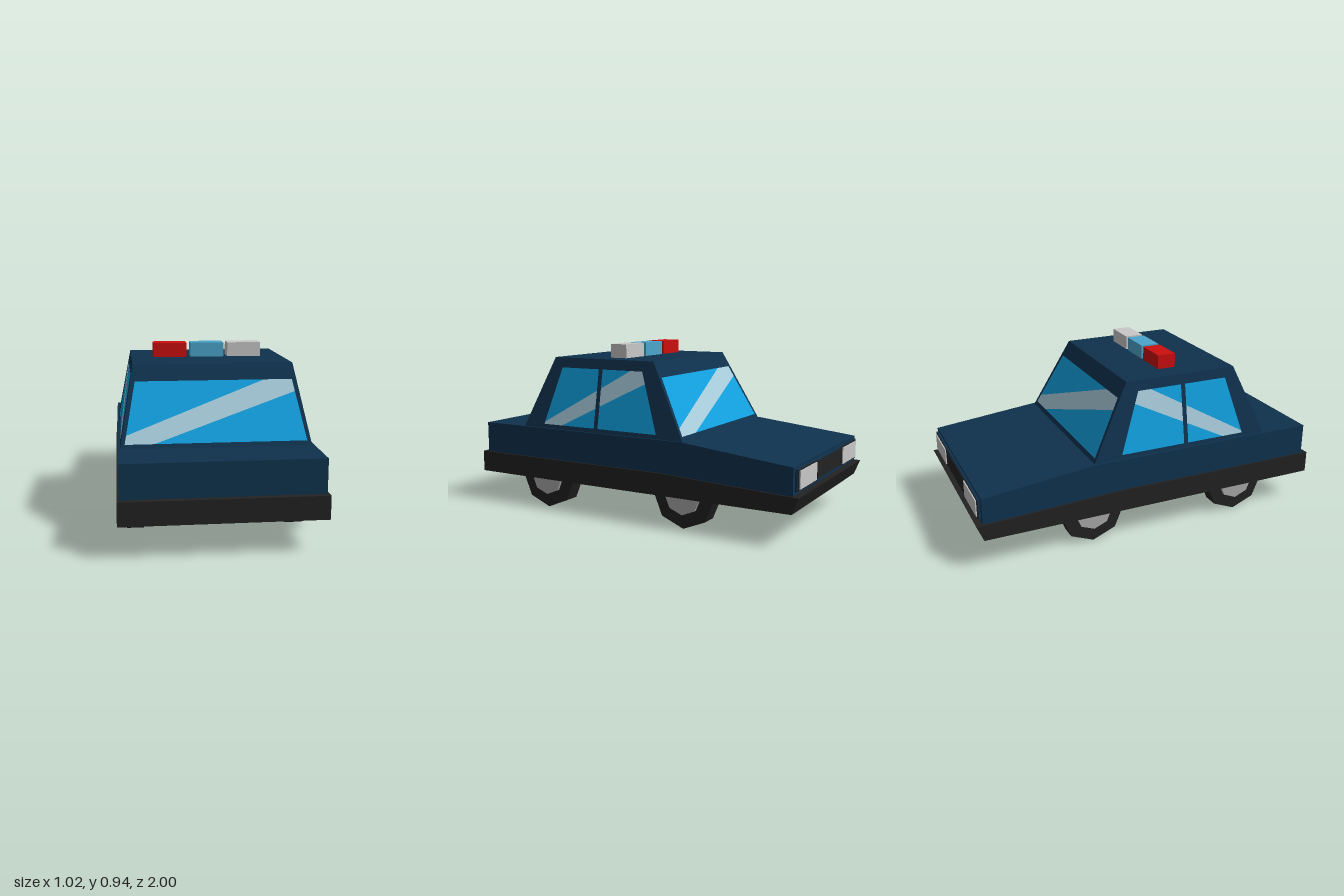
import * as THREE from 'three';

const mat = (name, color, side = THREE.FrontSide) => {
  const m = new THREE.MeshStandardMaterial({ color, side });
  m.name = name;
  return m;
};

// Flat-shaded mesh from convex polygons, each a list of [x, y, z] corners
function polyMesh(name, polys, material) {
  const pos = [];
  for (const p of polys)
    for (let i = 1; i < p.length - 1; i++) pos.push(...p[0], ...p[i], ...p[i + 1]);
  const g = new THREE.BufferGeometry();
  g.setAttribute('position', new THREE.Float32BufferAttribute(pos, 3));
  g.computeVertexNormals();
  const mesh = new THREE.Mesh(g, material);
  mesh.name = name;
  return mesh;
}

const mix = (a, b, t) => a.map((v, i) => v + (b[i] - v) * t);
const flipX = (poly) => poly.map(([x, y, z]) => [-x, y, z]).reverse();

// Closed loop around the car from one side's [y, z] points, rear to front
function loop(x, side) {
  const left = side.map(([y, z]) => [x, y, z]);
  return [...left, ...flipX(left)];
}

// Quads joining two loops
const loft = (a, b) => a.map((p, i) => {
  const j = (i + 1) % a.length;
  return [p, a[j], b[j], b[i]];
});

export function createModel() {
  const car = new THREE.Group();
  car.name = 'car';

  const navy = mat('navy paint', 0x0f324e, THREE.DoubleSide);
  const black = mat('black rubber', 0x222222, THREE.DoubleSide);
  const glass = mat('window blue', 0x11a0df, THREE.DoubleSide);
  const shine = mat('window shine', 0xa9cddd, THREE.DoubleSide);
  const grey = mat('hub grey', 0xaaaaaa);
  const red = mat('lamp red', 0xcc0e0e);
  const blue = mat('lamp blue', 0x4ba5cb);
  const white = mat('lamp white', 0xc8c8c8);

  const box = (name, x0, x1, y0, y1, z0, z1, material) => {
    const m = new THREE.Mesh(new THREE.BoxGeometry(x1 - x0, y1 - y0, z1 - z0), material);
    m.position.set((x0 + x1) / 2, (y0 + y1) / 2, (z0 + z1) / 2);
    m.name = name;
    car.add(m);
  };

  // Bumper band: hollow, with a narrow lip up to the body
  const bandLow = loop(0.51, [[0.17, 1], [0.17, 0.69], [0.17, -0.22], [0.17, -0.353], [0.17, -0.965]]);
  const bandTop = loop(0.51, [[0.29, 1], [0.29, 0.69], [0.29, -0.22], [0.284, -0.353], [0.255, -1]]);
  const bodyLow = loop(0.5, [[0.29, 0.966], [0.29, 0.69], [0.29, -0.22], [0.284, -0.353], [0.257, -0.965]]);
  const bodyTop = loop(0.5, [[0.465, 0.966], [0.465, 0.69], [0.465, -0.22], [0.465, -0.353], [0.4, -0.965]]);
  car.add(polyMesh('bumperBand', [...loft(bandLow, bandTop), ...loft(bandTop, bodyLow)], black));

  // Lower body: walls, boot lid, bonnet and the ledges beside the cabin
  const baseX = 0.488, baseY = 0.465, topX = 0.416, topY = 0.866;
  const ledge = [[0.5, baseY, 0.69], [0.5, baseY, -0.353], [baseX, baseY, -0.353], [baseX, baseY, 0.69]];
  const t = bodyTop;
  car.add(polyMesh('lowerBody', [
    ...loft(bodyLow, bodyTop),
    [t[0], t[1], t[8], t[9]],
    [t[3], t[4], t[5], t[6]],
    ledge, flipX(ledge),
  ], navy));

  // Cabin corners
  const rearL = [baseX, baseY, 0.69], frontL = [baseX, baseY, -0.353];
  const roofRearL = [topX, topY, 0.51], roofFrontL = [topX, topY, -0.139];
  const neg = ([x, y, z]) => [-x, y, z];
  car.add(polyMesh('roof', [[roofRearL, roofFrontL, neg(roofFrontL), neg(roofRearL)]], navy));

  // Points on the sloping cabin planes
  const slope = (a, b, y) => a + (b - a) * (y - baseY) / (topY - baseY);
  const onSide = (y, z) => [slope(baseX, topX, y), y, z];
  const onRear = (x, y) => [x, y, slope(0.69, 0.51, y)];
  const onFront = (x, y) => [x, y, slope(-0.353, -0.139, y)];

  // Framed window; corners run bottom left, bottom right, top right, top left.
  // cuts: where the shine band meets the left, bottom, top and right edges
  function windowPanel(name, outer, win, cuts, mirror = false) {
    const [bl, br, tr, tl] = win;
    const l = mix(bl, tl, cuts[0]), b = mix(bl, br, cuts[1]);
    const u = mix(tl, tr, cuts[2]), r = mix(br, tr, cuts[3]);
    const side = (polys) => (mirror ? polys.map(flipX) : polys);
    car.add(polyMesh(name + 'Frame', side(loft(outer, win)), navy));
    car.add(polyMesh(name + 'Glass', side([[l, u, tl], [b, br, r]]), glass));
    car.add(polyMesh(name + 'Shine', side([[bl, b, r, tr, u, l]]), shine));
  }

  windowPanel('rearWindow',
    [neg(rearL), rearL, roofRearL, neg(roofRearL)],
    [onRear(-0.465, 0.487), onRear(0.465, 0.487), onRear(0.407, 0.785), onRear(-0.407, 0.785)],
    [0.14, 0.16, 0.82, 0.8]);
  windowPanel('windshield',
    [frontL, neg(frontL), neg(roofFrontL), roofFrontL],
    [onFront(0.465, 0.487), onFront(-0.465, 0.487), onFront(-0.407, 0.782), onFront(0.407, 0.782)],
    [0.14, 0.16, 0.82, 0.8]);

  // Side windows, each with a centre post
  const post = [onSide(0.48, 0.203), onSide(0.48, 0.178), onSide(0.815, 0.178), onSide(0.815, 0.203)];
  for (const [name, mirror] of [['left', false], ['right', true]]) {
    windowPanel(name + 'Window',
      [rearL, frontL, roofFrontL, roofRearL],
      [onSide(0.487, 0.55), onSide(0.487, -0.193), onSide(0.81, -0.075), onSide(0.81, 0.455)],
      [0.04, 0.17, 0.86, 0.8], mirror);
    const polys = [0.004, -0.004].map((d) => post.map(([x, y, z]) => [x + d, y, z]));
    car.add(polyMesh(name + 'DoorPost', mirror ? polys.map(flipX) : polys, navy));
  }

  // Nose: surround, grille and headlights
  box('noseSurround', -0.475, 0.475, 0.275, 0.387, -0.977, -0.96, navy);
  box('grille', -0.19, 0.19, 0.285, 0.378, -0.981, -0.97, black);
  for (const [name, s] of [['left', 1], ['right', -1]]) {
    const c = s * 0.335;
    box(name + 'HeadlightRim', c - 0.132, c + 0.132, 0.277, 0.385, -0.98, -0.97, black);
    box(name + 'Headlight', c - 0.12, c + 0.12, 0.285, 0.377, -0.986, -0.97, white);
  }

  // Roof lamps
  box('redLamp', -0.295, -0.112, 0.855, 0.943, 0.107, 0.21, red);
  box('blueLamp', -0.09, 0.093, 0.855, 0.943, 0.107, 0.21, blue);
  box('whiteLamp', 0.115, 0.3, 0.855, 0.943, 0.107, 0.21, white);

  // Wheels: eight-sided tyres with a corner down, hubs standing out slightly
  const disc = (name, r, x0, x1, z, material) => {
    const g = new THREE.CylinderGeometry(r, r, x1 - x0, 8).toNonIndexed();
    g.rotateZ(Math.PI / 2);
    g.computeVertexNormals();
    const m = new THREE.Mesh(g, material);
    m.position.set((x0 + x1) / 2, 0.182, z);
    m.name = name;
    car.add(m);
  };
  for (const [end, z] of [['rear', 0.535], ['front', -0.355]]) {
    disc(end + 'LeftTyre', 0.182, 0.387, 0.477, z, black);
    disc(end + 'LeftHub', 0.105, 0.384, 0.494, z, grey);
    disc(end + 'RightTyre', 0.182, -0.462, -0.372, z, black);
    disc(end + 'RightHub', 0.105, -0.479, -0.369, z, grey);
  }
  return car;
}
